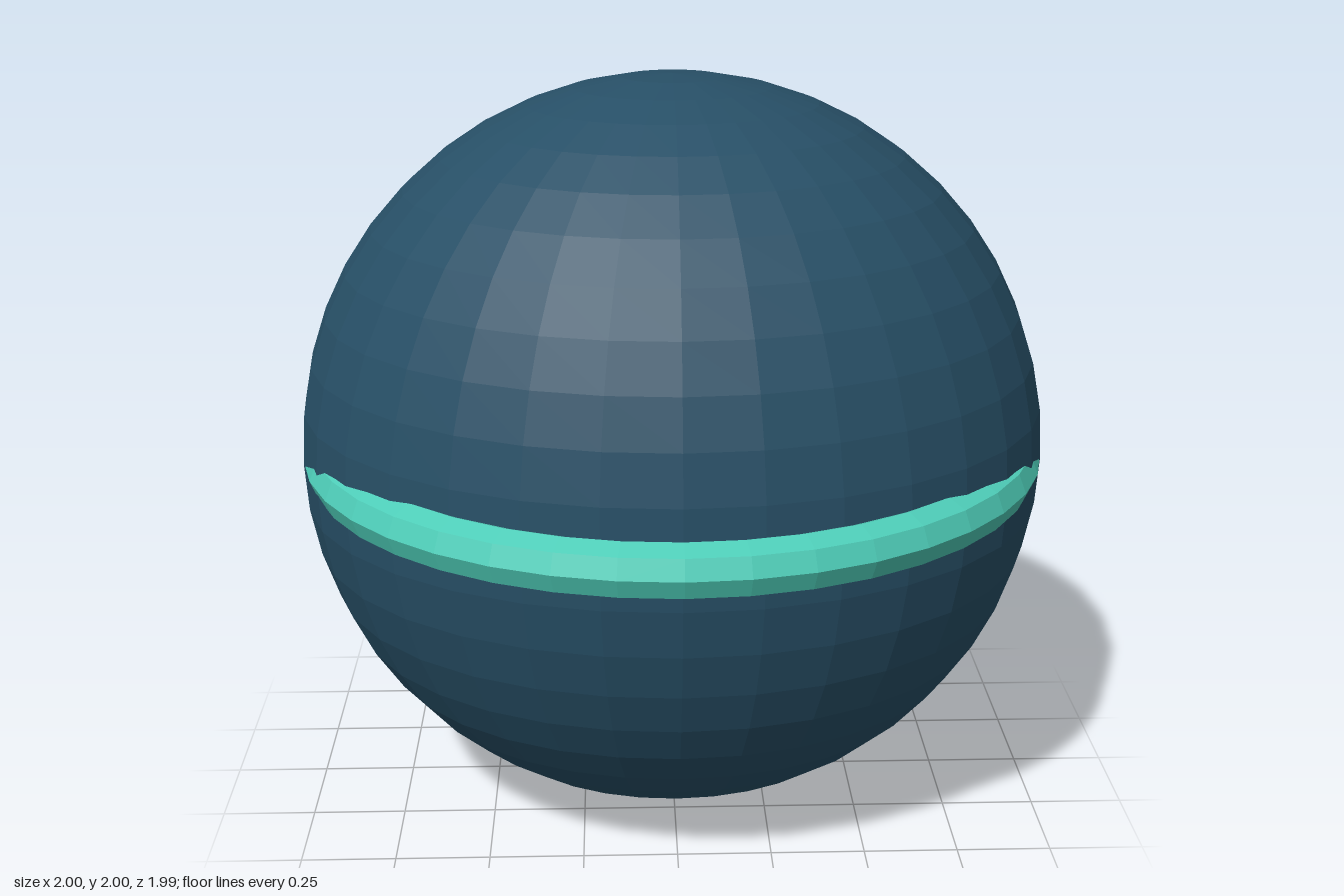
import * as THREE from 'three';

export function createModel() {
  const group = new THREE.Group();
  const material = (color) => new THREE.MeshStandardMaterial({ color, flatShading: true });

  // Round body, narrowed from front to back
  const body = new THREE.Mesh(new THREE.SphereGeometry(1, 32, 24), material(0x274f66));
  body.name = 'body';
  body.scale.z = 0.88;
  body.position.y = 1;
  group.add(body);

  // Belt ring that sinks into the body at both sides
  const ring = new THREE.Mesh(new THREE.TorusGeometry(0.925, 0.07, 8, 40), material(0x4ecdb8));
  ring.name = 'ring';
  ring.rotation.x = Math.PI / 2;
  ring.position.y = 1;
  group.add(ring);

  return group;
}
